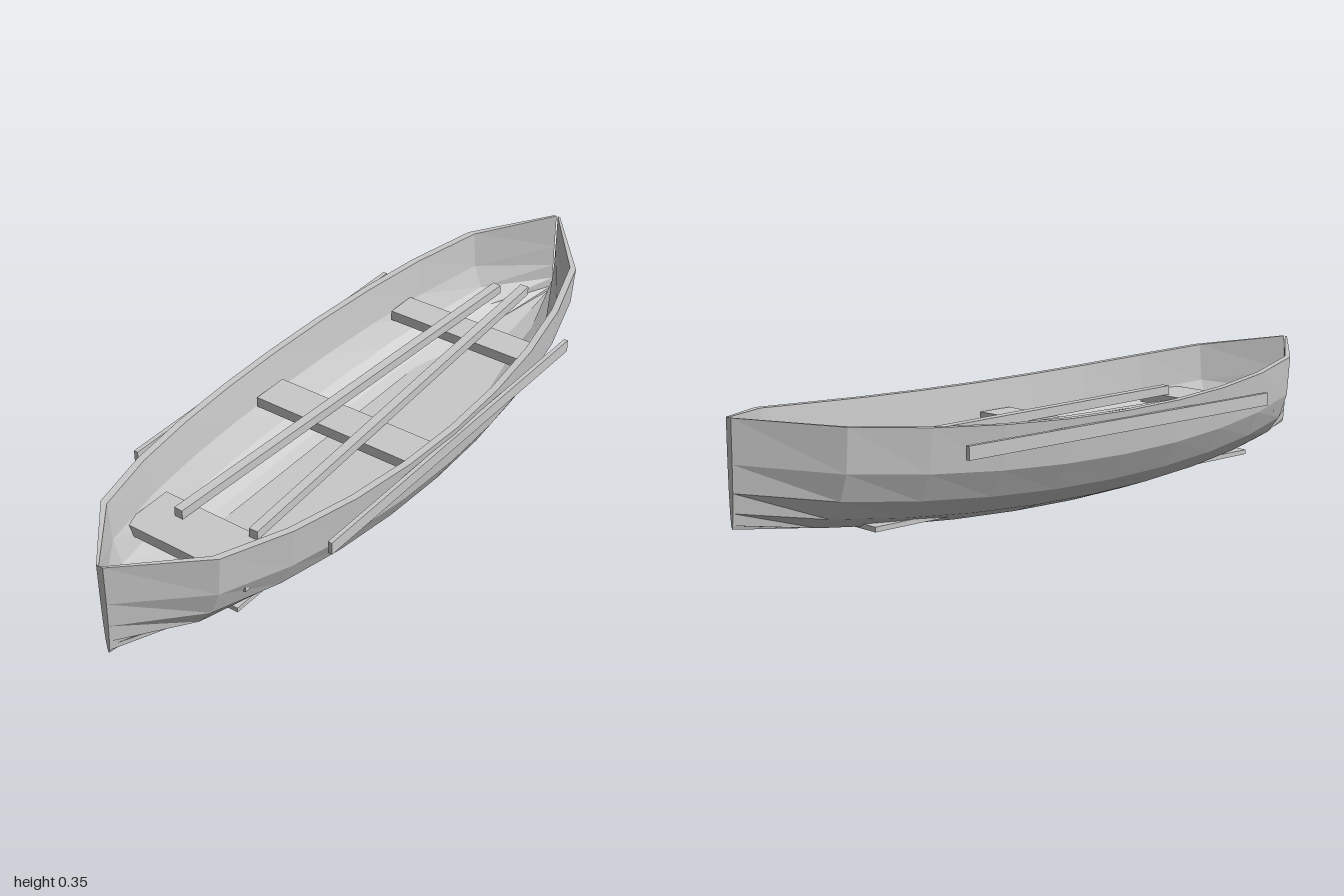
import * as THREE from 'three';

const STATIONS = 10; // hull segments from bow to stern
const SIDES = 10; // segments around each cross-section

// Cross-section of the hull at z, from the +x rim under the keel to the -x rim
function section(z, inset, lift) {
  const rim = 0.283 + 0.067 * z * z;
  const keel = 0.002 + 0.084 * z * z + lift;
  const half = Math.max(0.307 * Math.sqrt(Math.max(0, 1 - z * z)), 0.01);
  const width = Math.max(half - inset, 0.002);
  const points = [];
  for (let k = 0; k <= SIDES; k++) {
    const a = (Math.PI * k) / SIDES;
    const drop = Math.pow(Math.max(0, Math.sin(a)), 0.75);
    points.push([(inset ? width : half) * Math.cos(a), rim - (rim - keel) * drop, z]);
  }
  return points;
}

// Closed shell: outer skin, rim, inner skin, and flat stem posts at both ends
function hullGeometry() {
  const positions = [];
  const tri = (a, b, c) => positions.push(...a, ...b, ...c);
  const rings = [];
  for (let i = 0; i <= STATIONS; i++) {
    const z = -1 + (2 * i) / STATIONS;
    rings.push([...section(z, 0, 0), ...section(z, 0.02, 0.013).reverse()]);
  }
  const n = rings[0].length;
  for (let i = 0; i < STATIONS; i++) {
    for (let j = 0; j < n; j++) {
      const k = (j + 1) % n;
      const [p, q] = [rings[i], rings[i + 1]];
      tri(p[j], q[j], p[k]);
      tri(p[k], q[j], q[k]);
    }
  }
  const [back, front] = [rings[0], rings[STATIONS]];
  for (let j = 1; j < SIDES; j++) {
    tri(back[0], back[j], back[j + 1]);
    tri(front[0], front[j + 1], front[j]);
  }
  const geometry = new THREE.BufferGeometry();
  geometry.setAttribute('position', new THREE.Float32BufferAttribute(positions, 3));
  geometry.computeVertexNormals();
  return geometry;
}

export function createModel() {
  const boat = new THREE.Group();
  boat.name = 'rowingBoat';
  const grey = new THREE.MeshStandardMaterial({ color: 0xc8c8c8, flatShading: true });
  grey.name = 'paleGrey';

  const add = (name, geometry, x = 0, y = 0, z = 0) => {
    const mesh = new THREE.Mesh(geometry, grey);
    mesh.name = name;
    mesh.position.set(x, y, z);
    boat.add(mesh);
    return mesh;
  };
  const box = (name, w, h, d, x, y, z) => add(name, new THREE.BoxGeometry(w, h, d), x, y, z);

  add('hull', hullGeometry());

  // Floor board, its corners passing through the hull near the ends
  box('floorBoard', 0.25, 0.013, 1.36, 0, 0.0535, 0);

  // Bench seats
  box('backBench', 0.45, 0.03, 0.095, 0, 0.19, -0.51);
  box('middleBench', 0.53, 0.03, 0.11, 0, 0.19, 0.055);
  box('frontBench', 0.38, 0.03, 0.155, 0, 0.19, 0.645);

  // Rubbing strips along the sides
  for (const [name, side] of [['leftRubbingStrip', 1], ['rightRubbingStrip', -1]]) {
    box(name, 0.012, 0.035, 1.09, side * 0.307, 0.248, 0);
  }

  // Oars lying across the benches, each from its back end to its front end
  const oars = [
    ['rightOar', -0.035, -0.73, -0.095, 0.63],
    ['leftOar', 0.035, -0.77, 0.105, 0.585],
  ];
  for (const [name, x0, z0, x1, z1] of oars) {
    const length = Math.hypot(x1 - x0, z1 - z0);
    const oar = box(name, 0.026, 0.026, length, (x0 + x1) / 2, 0.22, (z0 + z1) / 2);
    oar.rotation.y = Math.atan2(x1 - x0, z1 - z0);
  }
  return boat;
}
